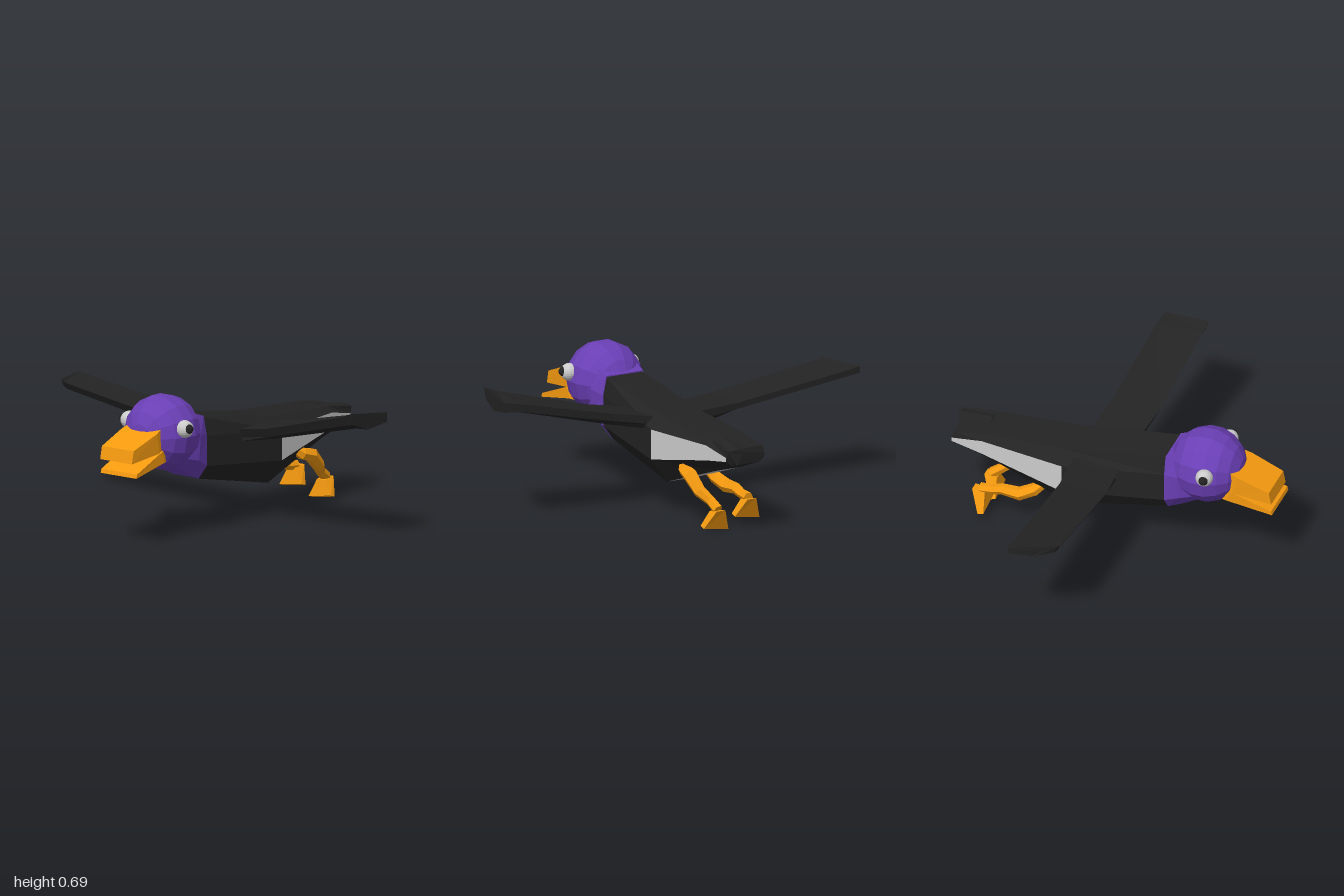
import * as THREE from 'three';

const CX = 0.06; // the bird's midline
const mat = (color) => new THREE.MeshStandardMaterial({ color, flatShading: true });
const black = mat(0x232323), purple = mat(0x6a3fb5), orange = mat(0xf59a10), grey = mat(0xcccccc);

function add(parent, name, geometry, material, x = 0, y = 0, z = 0) {
  const mesh = new THREE.Mesh(geometry, material);
  mesh.name = name;
  mesh.position.set(x, y, z);
  parent.add(mesh);
  return mesh;
}

// Closed skin through equal-sized rings; faces chosen by isAccent(ring, side) get the accent material
function loft(parent, name, rings, material, isAccent = () => false, accent = grey) {
  const tris = [];
  const tri = (a, b, c, light) => tris.push({ p: [a, b, c], light });
  const n = rings[0].length, last = rings.length - 1;
  for (let i = 0; i < last; i++) {
    for (let j = 0; j < n; j++) {
      const k = (j + 1) % n, light = isAccent(i, j);
      tri(rings[i][j], rings[i + 1][j], rings[i + 1][k], light);
      tri(rings[i][j], rings[i + 1][k], rings[i][k], light);
    }
  }
  for (let j = 1; j < n - 1; j++) {
    tri(rings[0][0], rings[0][j], rings[0][j + 1], false);
    tri(rings[last][0], rings[last][j + 1], rings[last][j], false);
  }
  // Turn all faces outward using the enclosed volume
  const o = rings[0][0];
  const volume = tris.reduce((sum, { p }) => {
    const [a, b, c] = p.map((v) => new THREE.Vector3(v[0] - o[0], v[1] - o[1], v[2] - o[2]));
    return sum + a.dot(b.cross(c));
  }, 0);
  for (const light of [false, true]) {
    const points = tris.filter((t) => t.light === light)
      .flatMap(({ p: [a, b, c] }) => (volume > 0 ? [a, b, c] : [a, c, b])).flat();
    if (!points.length) continue;
    const geometry = new THREE.BufferGeometry();
    geometry.setAttribute('position', new THREE.Float32BufferAttribute(points, 3));
    geometry.computeVertexNormals();
    add(parent, light ? name + 'Panel' : name, geometry, light ? accent : material);
  }
}

// Mirrored cross-section from [halfWidth, y] pairs listed top to bottom
const bodyRing = (z, half) => [
  ...half.map(([w, y]) => [CX + w, y, z]),
  ...[...half].reverse().map(([w, y]) => [CX - w, y, z]),
];

// Four-cornered section: x range, y range, z for top and bottom edges
const boxRing = (x0, x1, y0, y1, zTop, zBottom) =>
  [[x0, y1, zTop], [x1, y1, zTop], [x1, y0, zBottom], [x0, y0, zBottom]];

// Wing section with an inset panel along its underside
function wingRing([x, yFront, yBack, zFront, zBack, t, inset, lean = 0]) {
  const s = Math.sign(x) * lean;
  const mid = (zFront + zBack) / 2, half = (zFront - zBack) / 2 * inset;
  const yMid = (yFront + yBack) / 2;
  return [
    [x - s, yFront, zFront], [x, yBack, zBack],
    [x, yBack - t * 0.6, zBack], [x - s / 2, yMid - t, mid - half],
    [x - s / 2, yMid - t, mid + half], [x - s, yFront - t * 0.7, zFront - 0.02],
  ];
}

function addLeg(parent, name, path, radii, foot) {
  const leg = new THREE.Group();
  leg.name = name;
  // Shank: six-sided rings along the path
  const rings = path.map(([x, y, z], i) => {
    const a = path[Math.max(i - 1, 0)], b = path[Math.min(i + 1, path.length - 1)];
    const dir = new THREE.Vector3(b[0] - a[0], b[1] - a[1], b[2] - a[2]).normalize();
    const side = new THREE.Vector3(1, 0, 0).addScaledVector(dir, -dir.x).normalize();
    const up = dir.clone().cross(side);
    return Array.from({ length: 6 }, (_, j) => {
      const t = (j / 6) * Math.PI * 2;
      return new THREE.Vector3(x, y, z).addScaledVector(side, Math.cos(t) * radii[i])
        .addScaledVector(up, Math.sin(t) * radii[i]).toArray();
    });
  });
  loft(leg, name + 'Shank', rings, orange);
  // Foot: a wedge flaring down to a thin wide edge
  const [x, y, z] = foot;
  loft(leg, name + 'Foot', [
    [[x - 0.025, y, z - 0.035], [x + 0.025, y, z - 0.035], [x + 0.025, y - 0.01, z + 0.03], [x - 0.025, y - 0.01, z + 0.03]],
    [[x - 0.07, y - 0.11, z + 0.01], [x + 0.07, y - 0.09, z + 0.01], [x + 0.07, y - 0.08, z + 0.04], [x - 0.07, y - 0.1, z + 0.04]],
  ], orange);
  parent.add(leg);
}

export function createModel() {
  const bird = new THREE.Group();
  bird.name = 'flyingDuck';

  // Body and tail, with pale flanks and underside behind the belly
  const tail = bodyRing(-0.81, [[0.105, 0.445], [0.11, 0.41], [0.11, 0.39], [0.08, 0.365]]);
  tail[0][2] = -0.82;
  tail[7][2] = -0.8;
  loft(bird, 'body', [
    bodyRing(0.31, [[0.1, 0.572], [0.12, 0.48], [0.12, 0.33], [0.07, 0.262]]),
    bodyRing(-0.22, [[0.11, 0.49], [0.17, 0.43], [0.17, 0.28], [0.08, 0.157]]),
    bodyRing(-0.65, [[0.1, 0.468], [0.125, 0.44], [0.125, 0.365], [0.06, 0.305]]),
    tail,
  ], black, (i, j) => i === 1 && [1, 3, 5].includes(j) || i === 2 && (j === 1 || j === 5));
  // Raised rear tip of the tail
  loft(bird, 'tailTip', [
    [[-0.02, 0.46, -0.65], [0.1, 0.474, -0.65], [0.16, 0.46, -0.65], [0.1, 0.38, -0.65]],
    [[0.06, 0.44, -0.81], [0.12, 0.45, -0.84], [0.17, 0.44, -0.82], [0.12, 0.365, -0.83]],
  ], black);

  // Wings: x, front y, back y, front z, back z, thickness, panel width, tip lean
  const wings = {
    leftWing: [
      [0.1, 0.47, 0.475, 0.07, -0.18, 0.07, 0.85], [0.19, 0.475, 0.48, 0.07, -0.17, 0.065, 0.85],
      [0.4, 0.51, 0.515, 0.1, -0.145, 0.06, 0.6], [0.9, 0.64, 0.625, 0.135, -0.11, 0.065, 0.1],
      [0.99, 0.665, 0.64, 0.14, -0.1, 0.08, 0.05, 0.03],
    ],
    rightWing: [
      [0.02, 0.465, 0.465, 0.06, -0.18, 0.07, 0.85], [-0.1, 0.465, 0.47, 0.07, -0.17, 0.07, 0.85],
      [-0.3, 0.475, 0.475, 0.085, -0.155, 0.05, 0.6], [-0.9, 0.56, 0.55, 0.07, -0.16, 0.05, 0.1],
      [-1, 0.575, 0.565, 0.07, -0.16, 0.055, 0.05, 0.08],
    ],
  };
  for (const [name, rows] of Object.entries(wings)) {
    loft(bird, name, rows.map(wingRing), black, (i, j) => j === 3 && i < 3);
  }

  // Head and neck
  add(bird, 'head', new THREE.SphereGeometry(0.187, 14, 9).rotateX(Math.PI / 2), purple, CX, 0.513, 0.48);
  loft(bird, 'neck', [
    bodyRing(0.295, [[0.105, 0.575], [0.125, 0.48], [0.125, 0.33], [0.072, 0.258]]),
    bodyRing(0.37, [[0.11, 0.6], [0.15, 0.5], [0.14, 0.37], [0.075, 0.295]]),
    bodyRing(0.5, [[0.08, 0.6], [0.12, 0.5], [0.11, 0.4], [0.06, 0.36]]),
  ], purple);

  // Open bill
  loft(bird, 'upperBill', [
    boxRing(-0.03, 0.16, 0.45, 0.575, 0.58, 0.58),
    boxRing(-0.045, 0.175, 0.445, 0.545, 0.66, 0.64),
    boxRing(-0.035, 0.165, 0.422, 0.485, 0.825, 0.838),
  ], orange);
  loft(bird, 'lowerBill', [
    boxRing(-0.03, 0.16, 0.39, 0.47, 0.57, 0.57),
    boxRing(-0.045, 0.18, 0.395, 0.45, 0.63, 0.61),
    boxRing(-0.03, 0.195, 0.355, 0.375, 0.835, 0.84),
  ], orange);

  // Eyes
  for (const [name, s] of [['leftEye', 1], ['rightEye', -1]]) {
    const eye = new THREE.Group();
    eye.name = name;
    eye.position.set(CX + s * 0.175, 0.556, 0.522);
    add(eye, name + 'White', new THREE.SphereGeometry(0.043, 16, 12), grey);
    add(eye, name + 'Pupil', new THREE.SphereGeometry(0.024, 12, 8), black, s * 0.029, 0.004, 0.006);
    bird.add(eye);
  }

  // Trailing legs
  addLeg(bird, 'leftLeg',
    [[0.15, 0.3, -0.4], [0.175, 0.27, -0.44], [0.18, 0.255, -0.5], [0.17, 0.19, -0.57], [0.14, 0.15, -0.62], [0.13, 0.115, -0.67]],
    [0.025, 0.032, 0.037, 0.032, 0.025, 0.027], [0.13, 0.115, -0.665]);
  addLeg(bird, 'rightLeg',
    [[-0.01, 0.24, -0.34], [-0.03, 0.195, -0.39], [-0.05, 0.165, -0.46], [-0.05, 0.17, -0.55], [-0.05, 0.155, -0.6], [-0.05, 0.15, -0.66]],
    [0.025, 0.032, 0.034, 0.028, 0.024, 0.026], [-0.05, 0.15, -0.66]);

  return bird;
}
